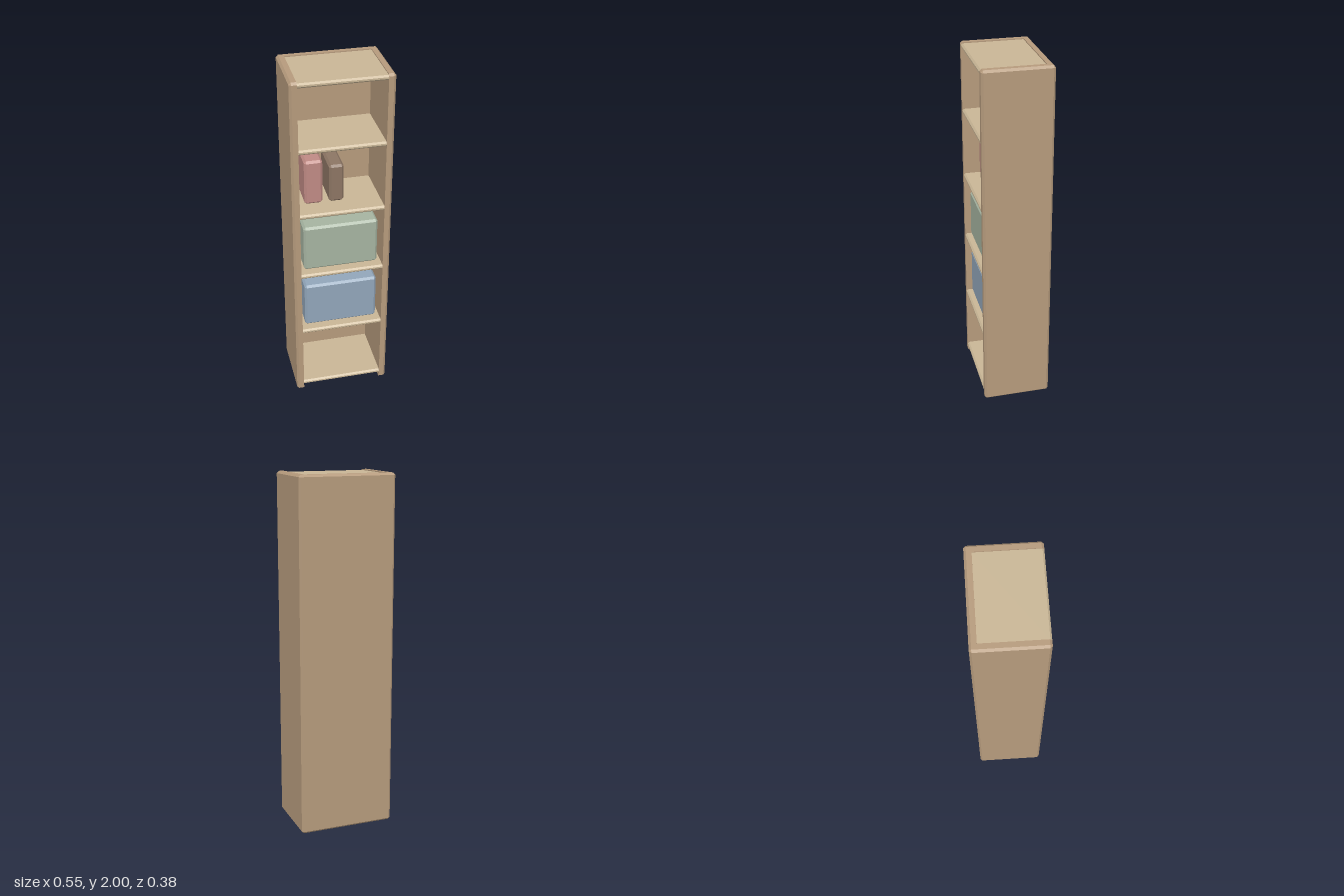
import * as THREE from 'three';

const W = 0.273, D = 0.192, H = 2;         // half width, half depth, height
const INNER_X = 0.233, INNER_Z = -0.153;   // inside faces of sides and back
const CHAMFER = 0.012;

function mat(color, side = THREE.FrontSide) {
  return new THREE.MeshStandardMaterial({ color, side, flatShading: true });
}

function shapeFrom(pts) {
  return new THREE.Shape(pts.map(([x, y]) => new THREE.Vector2(x, y)));
}

// Upright prism whose outer edges are all chamfered by c; outline is in plan (x, -z)
function chamferPrism(outline, hw, hd, h, c) {
  const geo = new THREE.ExtrudeGeometry(shapeFrom(outline), { depth: 3, steps: 3, bevelEnabled: false });
  geo.rotateX(-Math.PI / 2);
  const levels = [0, c, h - c, h];
  const p = geo.attributes.position;
  for (let i = 0; i < p.count; i++) {
    const ring = Math.round(p.getY(i));
    p.setY(i, levels[ring]);
    if (ring === 0 || ring === 3) {
      p.setX(i, THREE.MathUtils.clamp(p.getX(i), c - hw, hw - c));
      p.setZ(i, THREE.MathUtils.clamp(p.getZ(i), c - hd, hd - c));
    }
  }
  geo.computeVertexNormals();
  return geo;
}

// Rectangle with cut corners, starting and ending on its lower edge
function octagon(hw, hd, c) {
  return [
    [hw - c, -hd], [hw, c - hd], [hw, hd - c], [hw - c, hd],
    [c - hw, hd], [-hw, hd - c], [-hw, c - hd], [c - hw, -hd],
  ];
}

export function createModel() {
  const group = new THREE.Group();
  group.name = 'bookcase';
  const add = (name, geo, material) => {
    const mesh = new THREE.Mesh(geo, material);
    mesh.name = name;
    group.add(mesh);
    return mesh;
  };

  // Two sides and the back, U-shaped in plan
  const plan = [
    ...octagon(W, D, CHAMFER),
    [-INNER_X, -D], [-INNER_X, -INNER_Z], [INNER_X, -INNER_Z], [INNER_X, -D],
  ];
  add('carcass', chamferPrism(plan, W, D, H, CHAMFER), mat(0xb59a7c));

  // Shelves and top panel with a chamfered front edge
  const T = 0.027, c = 0.009;
  const profile = shapeFrom([
    [-INNER_Z, 0], [-INNER_Z, T], [c - D, T], [-D, T - c], [-D, c], [c - D, 0],
  ].map(([x, y]) => [x === -INNER_Z ? 0.155 : x, y]));
  const shelfGeo = new THREE.ExtrudeGeometry(profile, { depth: INNER_X * 2 + 0.004, bevelEnabled: false });
  shelfGeo.translate(0, 0, -INNER_X - 0.002);
  shelfGeo.rotateY(Math.PI / 2);
  const shelfMat = mat(0xc8b595);
  for (let i = 0; i < 5; i++) {
    add('shelf', shelfGeo, shelfMat).position.y = 0.035 + 0.3905 * i;
  }
  add('topPanel', shelfGeo, shelfMat).position.y = 1.967;

  // Storage boxes and books: name, colour, x range, y range, z range
  const items = [
    ['lowerStorageBox', 0x91a5b9, -0.21, 0.207, 0.467, 0.742, -0.14, 0.163],
    ['upperStorageBox', 0xa5b3a0, -0.21, 0.207, 0.857, 1.132, -0.14, 0.163],
    ['wideBook', 0xbf8a84, -0.19, -0.09, 1.25, 1.51, -0.11, 0.11],
    ['narrowBook', 0x8c7563, -0.055, 0.026, 1.25, 1.472, -0.11, 0.11],
  ];
  for (const [name, color, x0, x1, y0, y1, z0, z1] of items) {
    const hw = (x1 - x0) / 2, hd = (z1 - z0) / 2;
    const geo = chamferPrism(octagon(hw, hd, CHAMFER), hw, hd, y1 - y0, CHAMFER);
    add(name, geo, mat(color)).position.set((x0 + x1) / 2, y0, (z0 + z1) / 2);
  }
  return group;
}
